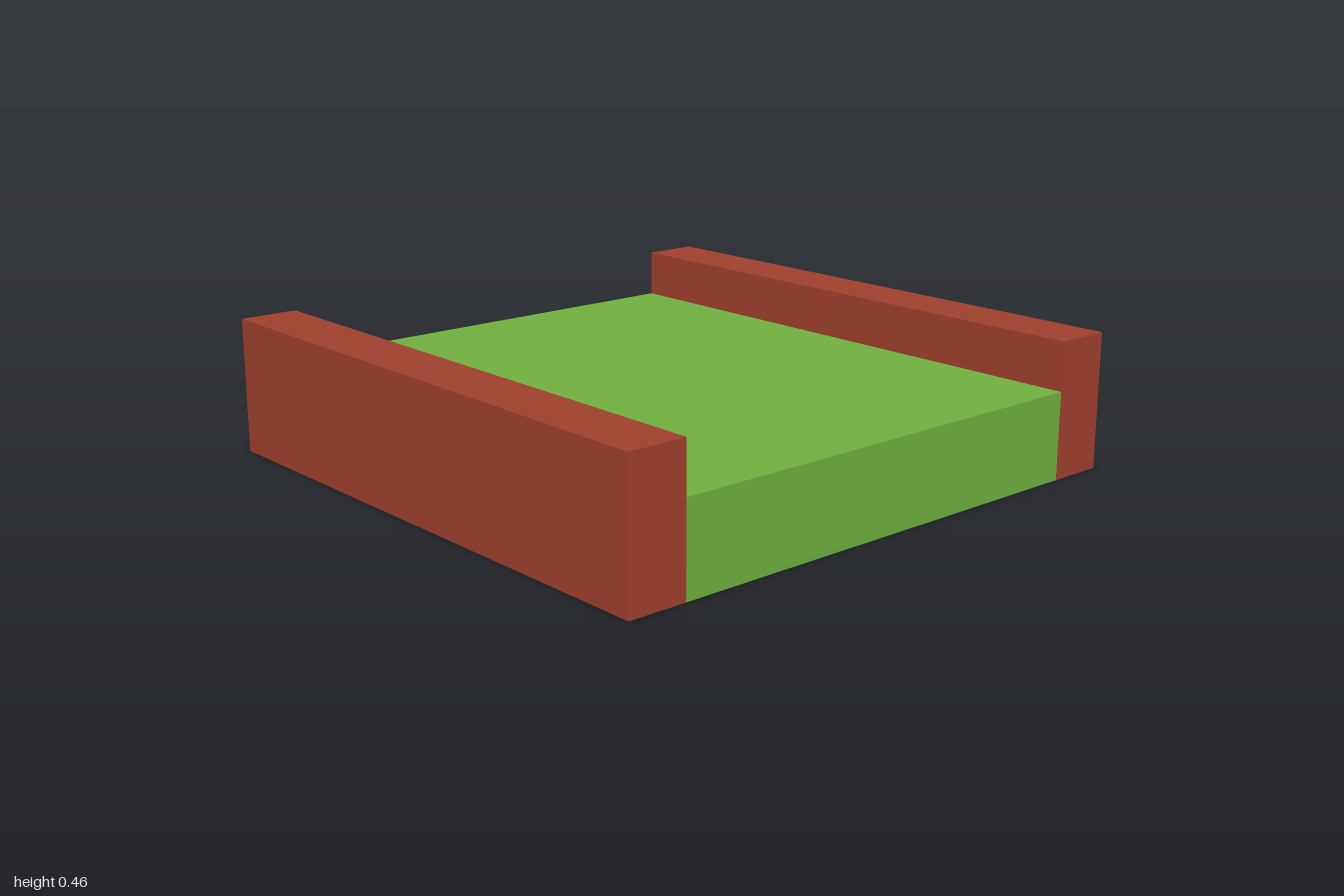
import * as THREE from 'three';

const brick = new THREE.MeshStandardMaterial({ color: 0xa0402e, flatShading: true });
const grass = new THREE.MeshStandardMaterial({ color: 0x70b03f, flatShading: true });

const LENGTH = 2;
const WALL = { width: 0.2, height: 0.46 };
const BED = { width: 1.6, height: 0.295 };

// Box standing on y = 0
function block(name, width, height, x, material) {
  const mesh = new THREE.Mesh(new THREE.BoxGeometry(width, height, LENGTH), material);
  mesh.name = name;
  mesh.position.set(x, height / 2, 0);
  return mesh;
}

export function createModel() {
  const group = new THREE.Group();
  group.name = 'walledPath';

  // Grass bed; its underside is brick like the walls (face order: +x -x +y -y +z -z)
  const bedFaces = [grass, grass, grass, brick, grass, grass];
  group.add(block('grassBed', BED.width, BED.height, 0, bedFaces));

  // Low brick wall along each side
  for (const [name, side] of [['leftWall', 1], ['rightWall', -1]]) {
    const x = side * (BED.width + WALL.width) / 2;
    group.add(block(name, WALL.width, WALL.height, x, brick));
  }
  return group;
}
